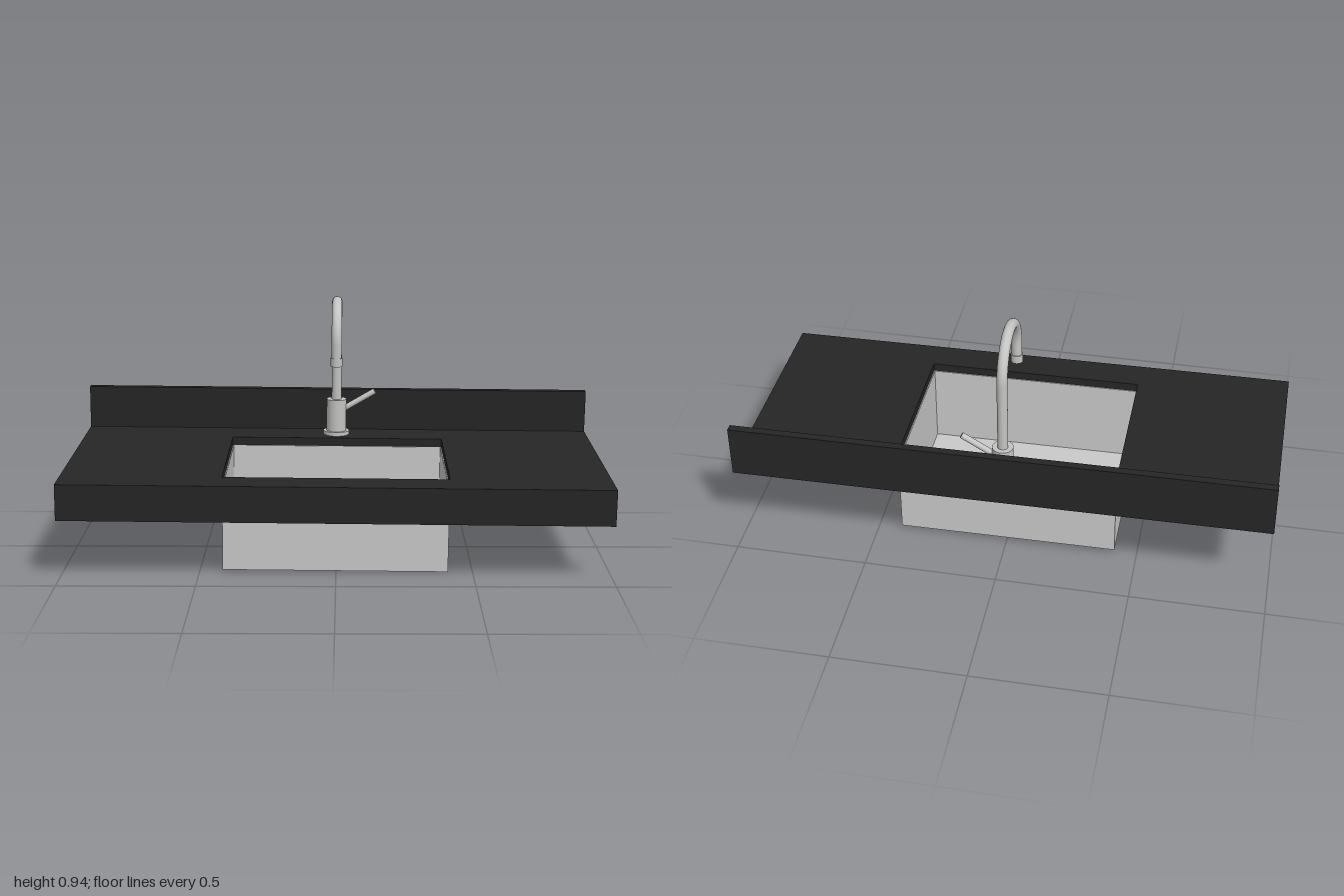
import * as THREE from 'three';

export function createModel() {
  const stone = new THREE.MeshStandardMaterial({ name: 'blackStone', color: 0x262626 });
  const steel = new THREE.MeshStandardMaterial({ name: 'basinSteel', color: 0xcacaca });
  const metal = new THREE.MeshStandardMaterial({ name: 'faucetMetal', color: 0xc4c4c2 });

  const model = new THREE.Group();
  model.name = 'sinkUnit';
  // The whole unit leans slightly forward and to its left
  const unit = new THREE.Group();
  unit.name = 'tiltedUnit';
  unit.rotation.set(0.02, 0, -0.009);
  unit.position.set(-0.003, 0, -0.007);
  model.add(unit);

  const add = (name, geometry, material) => {
    const mesh = new THREE.Mesh(geometry, material);
    mesh.name = name;
    unit.add(mesh);
    return mesh;
  };
  // Box given by its limits on each axis
  const box = (name, [x0, x1], [y0, y1], [z0, z1], material) =>
    add(name, new THREE.BoxGeometry(x1 - x0, y1 - y0, z1 - z0), material)
      .position.set((x0 + x1) / 2, (y0 + y1) / 2, (z0 + z1) / 2);

  // Worktop: four slabs around the opening, front apron and backsplash
  const slab = [0.33, 0.362], hx = 0.413, zb = -0.27, zf = 0.33;
  box('worktopRight', [-1, -hx], slab, [-0.456, 0.426], stone);
  box('worktopLeft', [hx, 1], slab, [-0.456, 0.426], stone);
  box('worktopFront', [-hx, hx], slab, [zf, 0.426], stone);
  box('worktopBack', [-hx, hx], slab, [-0.456, zb], stone);
  box('apron', [-1, 1], [0.228, 0.362], [0.426, 0.456], stone);
  box('backsplash', [-1, 1], [0.362, 0.527], [-0.456, -0.426], stone);

  // Basin: thin walls and floor, open at the top
  const t = 0.004, y0 = 0.0105, wall = [y0, 0.33];
  box('basinFloor', [-hx, hx], [y0, y0 + t], [zb, zf], steel);
  for (const s of [-1, 1]) {
    const xs = [s * hx, s * (hx - t)].sort((a, b) => a - b);
    box(s < 0 ? 'basinWallRight' : 'basinWallLeft', xs, wall, [zb, zf], steel);
  }
  box('basinWallBack', [-hx, hx], wall, [zb, zb + t], steel);
  box('basinWallFront', [-hx, hx], wall, [zf - t, zf], steel);
  add('drain', new THREE.CylinderGeometry(0.075, 0.075, 0.002, 32), steel)
    .position.set(-0.003, y0 + t + 0.001, 0.03);

  // Faucet: flange and body
  const fx = -0.004, fz = -0.3495;
  const disc = (name, r, a, b, z) =>
    add(name, new THREE.CylinderGeometry(r, r, b - a, 32), metal).position.set(fx, (a + b) / 2, z);
  disc('faucetFlange', 0.051, 0.362, 0.377, fz);
  disc('faucetBody', 0.039, 0.377, 0.505, fz);

  // Gooseneck spout: riser, half circle and short drop
  const R = 0.141, cy = 0.778, cz = fz + R;
  const path = new THREE.CurvePath();
  const p = (y, z) => new THREE.Vector3(fx, y, z);
  path.add(new THREE.LineCurve3(p(0.5, fz), p(cy, fz)));
  const k = R * 0.5523;
  path.add(new THREE.CubicBezierCurve3(p(cy, fz), p(cy + k, fz), p(cy + R, cz - k), p(cy + R, cz)));
  path.add(new THREE.CubicBezierCurve3(p(cy + R, cz), p(cy + R, cz + k), p(cy + k, cz + R), p(cy, cz + R)));
  path.add(new THREE.LineCurve3(p(cy, cz + R), p(0.7, cz + R)));
  add('spout', new THREE.TubeGeometry(path, 96, 0.0195, 20), metal);
  disc('spoutNozzle', 0.0225, 0.694, 0.726, cz + R);

  // Side lever, rising to the left
  const a = new THREE.Vector3(0.02, 0.462, fz), b = new THREE.Vector3(0.148, 0.538, fz);
  const dir = b.clone().sub(a);
  const lever = add('lever', new THREE.CylinderGeometry(0.0115, 0.0115, dir.length(), 20), metal);
  lever.position.copy(a).add(b).multiplyScalar(0.5);
  lever.quaternion.setFromUnitVectors(new THREE.Vector3(0, 1, 0), dir.normalize());

  return model;
}
